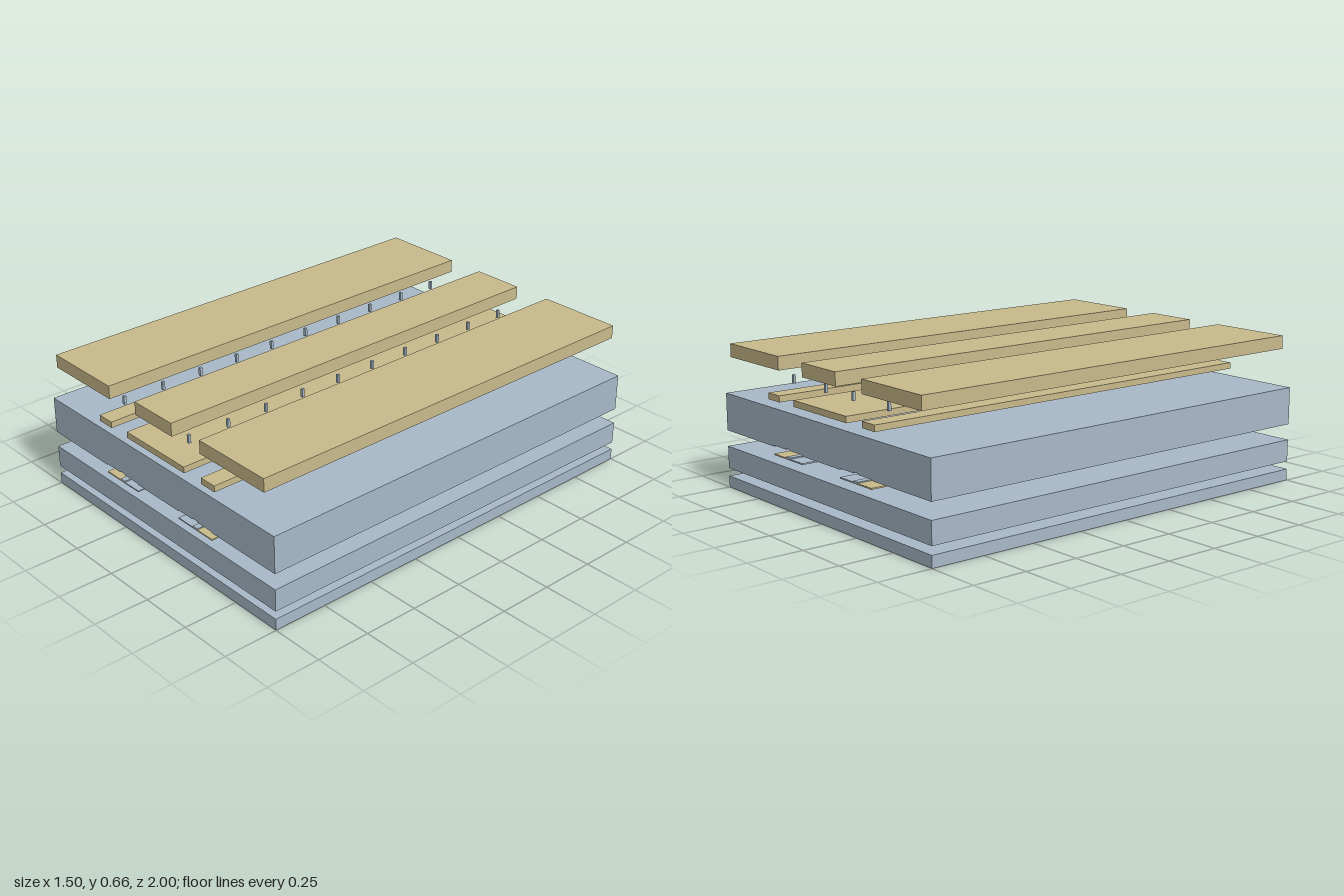
import * as THREE from 'three';

const LENGTH = 2;
const blue = new THREE.MeshStandardMaterial({ color: 0xa8b9c8 });
blue.name = 'paleBlue';
const tan = new THREE.MeshStandardMaterial({ color: 0xc9ba8c });
tan.name = 'sandTan';

export function createModel() {
  const model = new THREE.Group();
  model.name = 'explodedLayerStack';

  // Box given by its x and y ranges
  const slab = (name, material, x0, x1, y0, y1, depth = LENGTH, z = 0) => {
    const mesh = new THREE.Mesh(new THREE.BoxGeometry(x1 - x0, y1 - y0, depth), material);
    mesh.position.set((x0 + x1) / 2, (y0 + y1) / 2, z);
    mesh.name = name;
    model.add(mesh);
  };
  // The same box on both sides of the centre
  const pair = (name, material, x0, x1, y0, y1, depth, z) => {
    slab(name + 'Left', material, x0, x1, y0, y1, depth, z);
    slab(name + 'Right', material, -x1, -x0, y0, y1, depth, z);
  };

  // Base layers
  slab('basePlate', blue, -0.75, 0.75, 0, 0.052);
  slab('lowerLayer', blue, -0.75, 0.75, 0.088, 0.188);

  // Thin ribbed strips, with the outer part in the second colour
  pair('stripInner', blue, 0.14, 0.235, 0.223, 0.229);
  pair('stripRib', blue, 0.235, 0.265, 0.223, 0.234);
  pair('stripOuter', tan, 0.265, 0.36, 0.223, 0.229);

  // Thick layer with stepped recesses that fit over the strips
  const y = 0.26, step = 0.265, deep = 0.27;
  const outline = [[-0.75, y]];
  for (const c of [-0.25, 0.25]) {
    outline.push(
      [c - 0.11, y], [c - 0.11, step], [c - 0.015, step], [c - 0.015, deep],
      [c + 0.015, deep], [c + 0.015, step], [c + 0.11, step], [c + 0.11, y]);
  }
  outline.push([0.75, y], [0.75, 0.428], [-0.75, 0.428]);
  const shape = new THREE.Shape(outline.map(([px, py]) => new THREE.Vector2(px, py)));
  const geometry = new THREE.ExtrudeGeometry(shape, { depth: LENGTH, bevelEnabled: false });
  geometry.translate(0, 0, -LENGTH / 2);
  const upperLayer = new THREE.Mesh(geometry, blue);
  upperLayer.name = 'upperLayer';
  model.add(upperLayer);

  // Lower rails
  slab('lowerRailCentre', tan, -0.194, 0.194, 0.46, 0.488);
  pair('lowerRail', tan, 0.305, 0.39, 0.46, 0.488);

  // Four rows of connecting pins
  for (let i = 0; i < 10; i++) {
    const z = -0.9 + i * 0.2;
    pair('innerPin', blue, 0.094, 0.106, 0.522, 0.56, 0.012, z);
    pair('outerPin', blue, 0.341, 0.353, 0.522, 0.56, 0.012, z);
  }

  // Top rails
  slab('topRailCentre', tan, -0.123, 0.123, 0.596, 0.656);
  pair('topRail', tan, 0.305, 0.697, 0.596, 0.656);

  return model;
}
